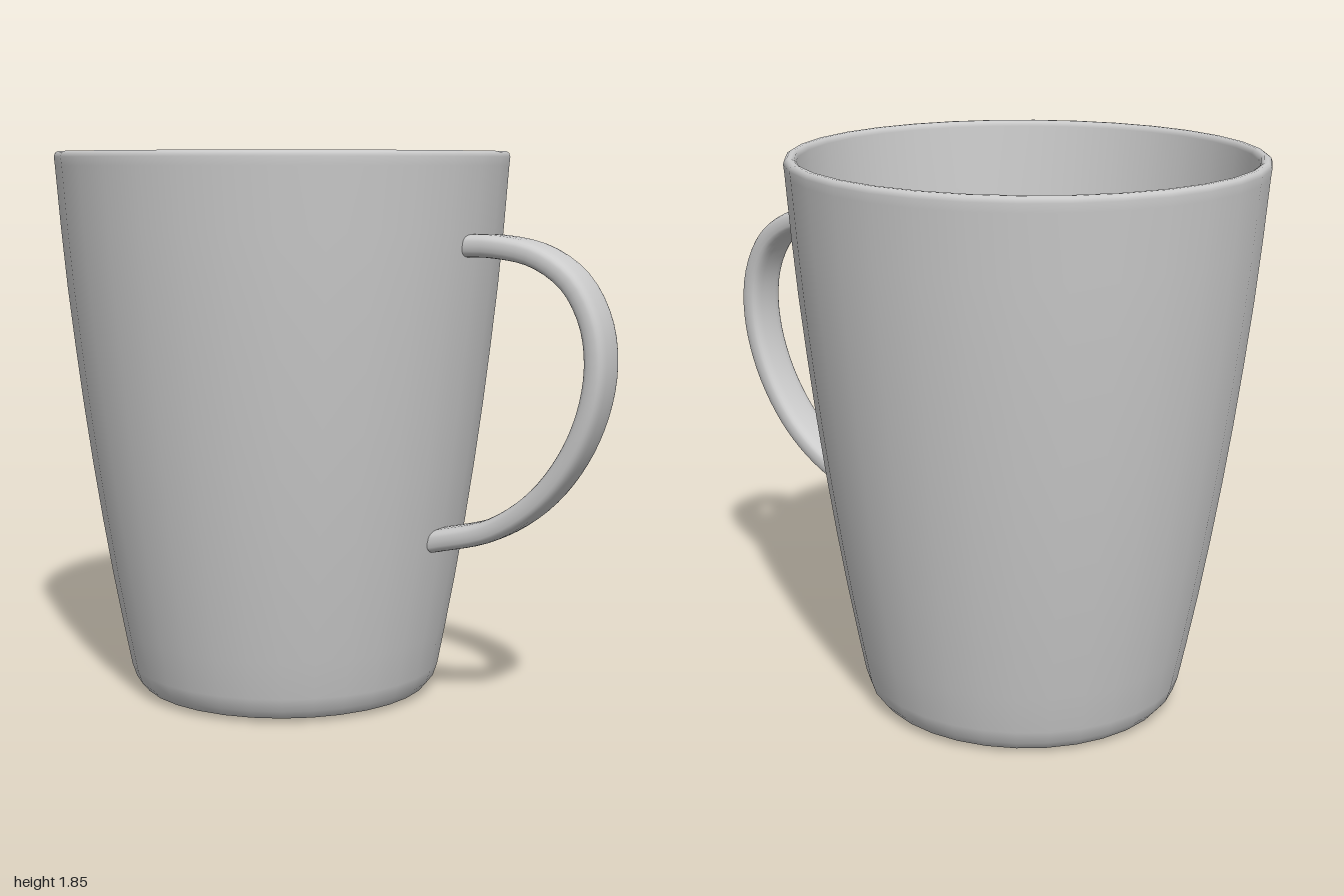
import * as THREE from 'three';
import { ParametricGeometry } from 'three/addons/geometries/ParametricGeometry.js';

const material = new THREE.MeshStandardMaterial({ color: 0xcccccc });
const CUP_X = -0.23;

// Closed wall: underside, outer wall, rounded rim, inner wall, inner floor
function createCup() {
  const profile = [
    [0, 0], [0.42, 0], [0.45, 0.003], [0.5, 0.015], [0.525, 0.045], [0.54, 0.09],
    [0.565, 0.22], [0.598, 0.4], [0.631, 0.6], [0.661, 0.8], [0.688, 1.0],
    [0.712, 1.2], [0.734, 1.4], [0.752, 1.6], [0.767, 1.8],
    [0.77, 1.828], [0.766, 1.841], [0.757, 1.847], [0.745, 1.847], [0.736, 1.841], [0.732, 1.828],
    [0.715, 1.6], [0.697, 1.4], [0.675, 1.2], [0.651, 1.0], [0.624, 0.8],
    [0.594, 0.6], [0.561, 0.4], [0.53, 0.22], [0.51, 0.11],
    [0.495, 0.075], [0.465, 0.055], [0.42, 0.048], [0.39, 0.047], [0, 0.047],
  ].map(([r, y]) => new THREE.Vector2(r, y));
  const cup = new THREE.Mesh(new THREE.LatheGeometry(profile, 32), material);
  cup.name = 'cup';
  cup.position.x = CUP_X;
  return cup;
}

// Strap with a rounded oblong section, swept along a curve in the xy plane
function createHandle() {
  const path = new THREE.CatmullRomCurve3([
    [0.495, 1.547], [0.6, 1.547], [0.75, 1.52], [0.87, 1.445], [0.94, 1.33],
    [0.963, 1.2], [0.943, 1.05], [0.875, 0.89], [0.76, 0.745], [0.6, 0.637], [0.385, 0.575],
  ].map(([x, y]) => new THREE.Vector3(x, y, 0)));
  const halfThick = 0.037, halfWide = 0.073;
  const rounded = (s, power) => Math.sign(s) * Math.abs(s) ** power;
  const sweep = (u, v, target) => {
    const p = path.getPointAt(u), t = path.getTangentAt(u);
    const a = v * Math.PI * 2;
    const out = halfThick * rounded(Math.cos(a), 0.65);
    target.set(p.x - t.y * out, p.y + t.x * out, -halfWide * rounded(Math.sin(a), 0.55));
  };
  const handle = new THREE.Mesh(new ParametricGeometry(sweep, 40, 24), material);
  handle.name = 'handle';
  return handle;
}

export function createModel() {
  const mug = new THREE.Group();
  mug.name = 'mug';
  mug.add(createCup(), createHandle());
  return mug;
}
